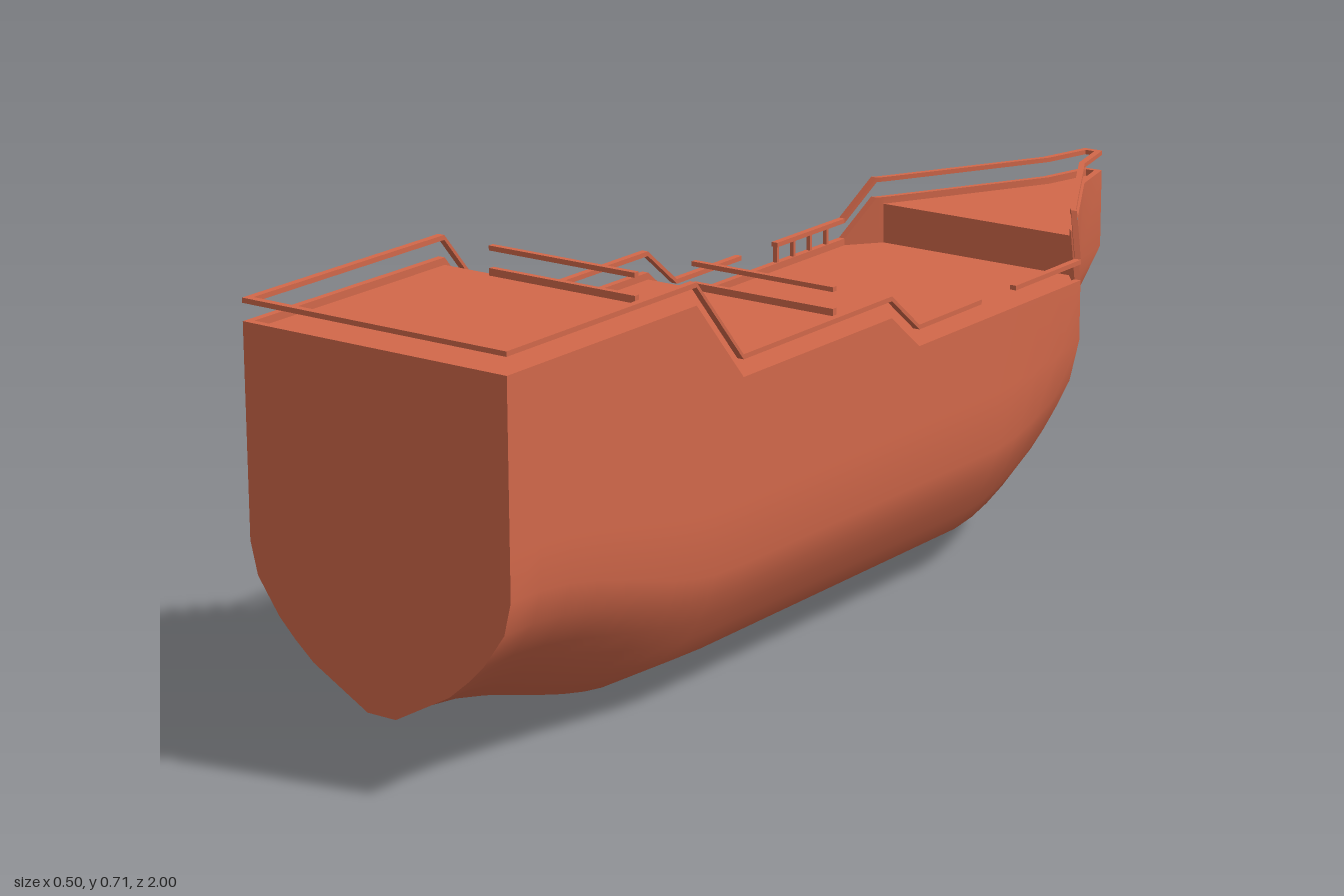
import * as THREE from 'three';
import { toCreasedNormals } from 'three/addons/utils/BufferGeometryUtils.js';

const material = new THREE.MeshStandardMaterial({ color: 0xd2684a });

// Piecewise linear lookup; table runs from stern (z = 1) to bow (z = -1)
function lookup(table, z) {
  for (let i = 1; i < table.length; i++) {
    const [z0, v0] = table[i - 1], [z1, v1] = table[i];
    if (z >= z1) return z >= z0 ? v0 : v0 + (v1 - v0) * (z0 - z) / (z0 - z1);
  }
  return table[table.length - 1][1];
}
const sheer = z => lookup([[1, .67], [.545, .67], [.425, .53], [.02, .53], [-.06, .465], [-.555, .465], [-.6, .535], [-1, .535]], z);
const plan = z => lookup([[1, .248], [-.555, .248], [-.61, .203], [-.7, .153], [-.82, .087], [-.9, .043], [-1, .018]], z);
const smooth = t => t * t * (3 - 2 * t);

// Skin rows of [x, y, z] points from stern to bow, with optional end caps
function loft(rows, capped, crease = 0.6) {
  const pos = [];
  const tri = (a, b, c) => {
    const t = new THREE.Triangle(...[a, b, c].map(p => new THREE.Vector3(...p)));
    if (t.getArea() > 1e-9) pos.push(...a, ...b, ...c);
  };
  const quad = (a, b, c, d) => { tri(a, b, c); tri(a, c, d); };
  for (let i = 0; i < rows.length - 1; i++)
    for (let j = 0; j < rows[i].length - 1; j++)
      quad(rows[i][j], rows[i + 1][j], rows[i + 1][j + 1], rows[i][j + 1]);
  if (capped) {
    const a = rows[0], b = rows[rows.length - 1], n = a.length;
    for (let k = 0; k < Math.floor(n / 2); k++) {
      const m = n - 1 - k;
      if (m - 1 < k + 1) continue;
      quad(a[k], a[k + 1], a[m - 1], a[m]);
      quad(b[m], b[m - 1], b[k + 1], b[k]);
    }
  }
  const geo = new THREE.BufferGeometry();
  geo.setAttribute('position', new THREE.Float32BufferAttribute(pos, 3));
  return toCreasedNormals(geo, crease);
}
const mirrorRow = half => [...half.map(([x, y, z]) => [-x, y, z]).reverse(), ...half];

function add(group, name, geo, x = 0, y = 0, z = 0) {
  const mesh = new THREE.Mesh(geo, material);
  mesh.name = name;
  mesh.position.set(x, y, z);
  group.add(mesh);
}

// Half sections from keel to just below the sheer
const STERN = [[.027, .103], [.13, .16], [.165, .19], [.195, .22], [.235, .277], [.248, .33], [.248, .4]];
const MID = [[.027, 0], [.165, .075], [.19, .112], [.215, .15], [.235, .19], [.248, .23], [.248, .33]];
const SHOULDER = [[.027, .06], [.125, .11], [.155, .15], [.18, .19], [.205, .235], [.23, .285], [.248, .36]];

// Bow sections, raked so that the stem overhangs the bulb
const BOW = [
  [[.026, .075, -.6], [.088, .125, -.6], [.1, .165, -.6], [.12, .205, -.6], [.155, .26, -.6], [.185, .315, -.6], [.205, .38, -.6]],
  [[.023, .1, -.68], [.058, .142, -.68], [.058, .183, -.68], [.066, .218, -.68], [.09, .27, -.69], [.12, .33, -.7], [.145, .4, -.7]],
  [[.02, .105, -.76], [.045, .15, -.76], [.04, .19, -.76], [.031, .225, -.77], [.038, .28, -.785], [.054, .335, -.81], [.075, .4, -.82]],
  [[.02, .105, -.785], [.043, .15, -.785], [.034, .19, -.785], [.021, .225, -.79], [.023, .28, -.82], [.03, .335, -.88], [.037, .395, -.9]],
  [[.02, .105, -.8], [.042, .15, -.8], [.03, .19, -.8], [.015, .225, -.8], [.015, .28, -.84], [.016, .335, -.94], [.018, .395, -1]],
];

function buildHull() {
  const blend = (a, b, t, z) => a.map(([x, y], i) => [x + (b[i][0] - x) * t, y + (b[i][1] - y) * t, z]);
  const halves = [1, .93, .86, .79, .72, .65, .6, .545, .5, .425, .02, -.06, -.3, -.36, -.42, -.49, -.555].map(z =>
    z > -.3 ? blend(MID, STERN, smooth(THREE.MathUtils.clamp((z - .45) / .5, 0, 1)), z)
      : blend(MID, SHOULDER, Math.pow(Math.max(0, -.3 - z) / .255, 1.5), z));
  halves.push(...BOW);
  return loft(halves.map(h => {
    const z = h[h.length - 1][2];
    return mirrorRow([...h, [plan(z), sheer(z), z]]);
  }), true);
}

// Stepped decks inside a low bulwark; a repeated z makes a bulkhead
function buildDecks() {
  const poop = .658, waist = .518, main = .453, fore = .523;
  const stations = [
    [1, .67], [.988, .67], [.988, poop], [.545, poop], [.545, waist], [.425, waist], [.02, waist],
    [.02, main], [-.06, main], [-.555, main], [-.6, main], [-.61, main], [-.61, fore],
    [-.7, fore], [-.82, fore], [-.9, fore], [-.99, fore], [-.99, .535], [-1, .535],
  ];
  return loft(stations.map(([z, deck]) => {
    const x = plan(z), y = sheer(z), inner = x - .012;
    return mirrorRow([[inner, deck, z], [inner, y, z], [x, y, z]]).reverse();
  }), false, 0.3);
}

// Rectangular handrail floating above the bulwark
function buildRail(side, stations) {
  return loft(stations.map(z => {
    const x = side * Math.max(plan(z) - .006, .008), y = sheer(z) + .032;
    const l = x - .006, r = x + .006, b = y - .004, t = y + .004;
    return [[l, t, z], [l, b, z], [r, b, z], [r, t, z], [l, t, z]];
  }), true, 0.3);
}

export function createModel() {
  const model = new THREE.Group();
  model.name = 'shipHull';
  add(model, 'hull', buildHull());
  add(model, 'decks', buildDecks());

  // Side rails, with a gangway gap amidships
  for (const [side, label] of [[1, 'left'], [-1, 'right']]) {
    add(model, label + 'AftRail', buildRail(side, [1, .545, .425, .02, -.06, -.245]));
    add(model, label + 'ForeRail', buildRail(side, [-.35, -.555, -.6, -.61, -.7, -.82, -.9, -1]));
  }
  // Rails across the stern and bow
  add(model, 'sternRail', new THREE.BoxGeometry(.496, .008, .012), 0, .702, .994);
  add(model, 'bowRail', new THREE.BoxGeometry(.036, .008, .012), 0, .567, -.994);

  // Short rails and coamings at the two deck breaks
  for (const [z, y] of [[.55, .67], [.024, .53]]) {
    add(model, 'deckBreakRail', new THREE.BoxGeometry(.28, .008, .01), 0, y + .032, z);
    add(model, 'deckBreakCoaming', new THREE.BoxGeometry(.28, .012, .01), 0, y - .006, z);
  }
  // Posts under the right fore rail
  for (let i = 0; i < 4; i++)
    add(model, 'railPost', new THREE.BoxGeometry(.008, .034, .006), -.242, .481, -.355 - i * .05);
  return model;
}
